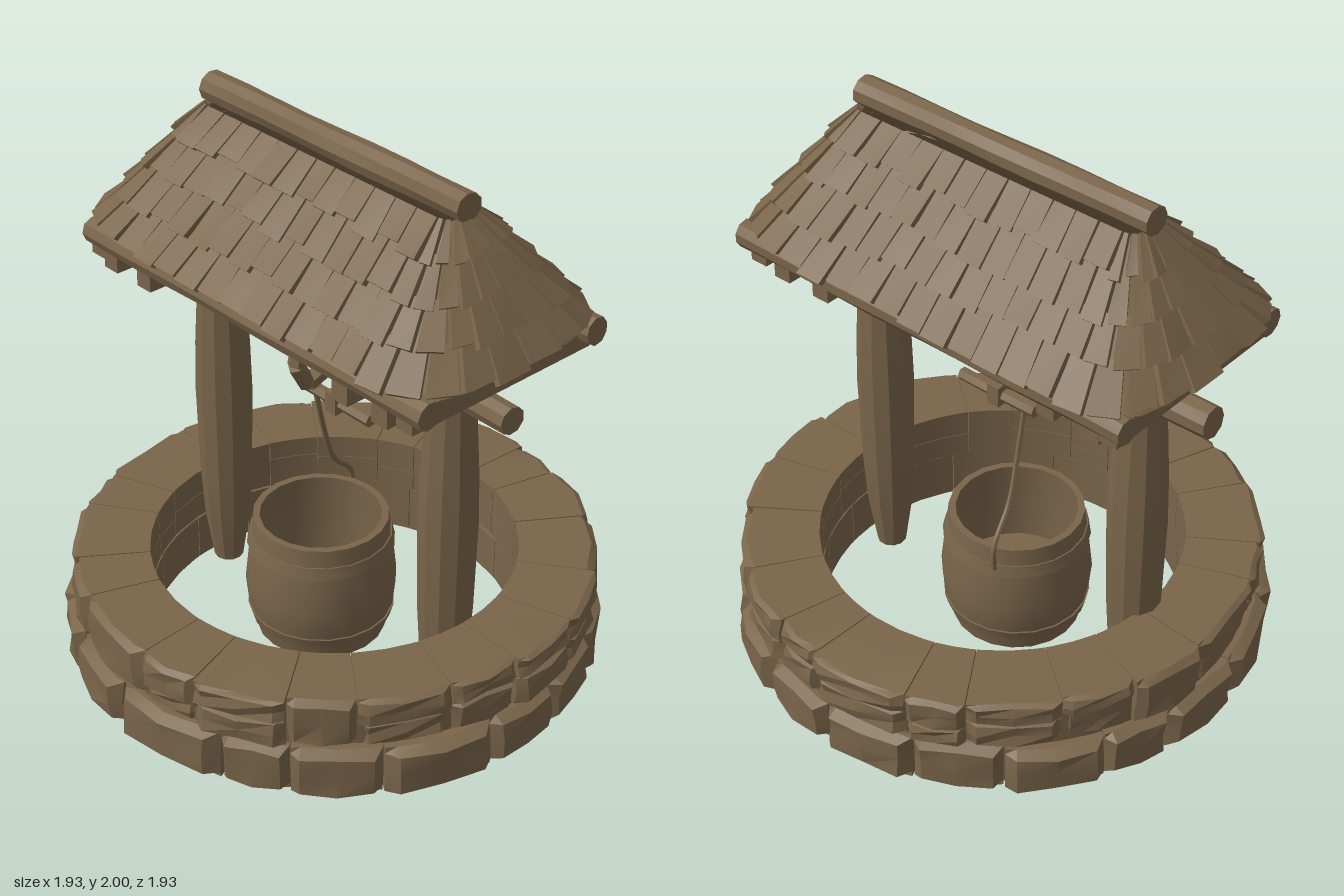
import * as THREE from 'three';
import { toCreasedNormals } from 'three/addons/utils/BufferGeometryUtils.js';

const V = (x, y, z) => new THREE.Vector3(x, y, z);

export function createModel() {
  const model = new THREE.Group();
  model.name = 'well';
  const brown = new THREE.MeshStandardMaterial({ color: 0x7a654a, side: THREE.DoubleSide });
  brown.name = 'weatheredBrown';

  let seed = 7;
  const rnd = (a = 0, b = 1) => {
    seed = (seed * 16807) % 2147483647;
    return a + (b - a) * (seed / 2147483647);
  };
  const group = (name) => {
    const g = new THREE.Group();
    g.name = name;
    model.add(g);
    return g;
  };
  const add = (name, geo, parent = model, crease = 0.5) => {
    const m = new THREE.Mesh(toCreasedNormals(geo, crease), brown);
    m.name = name;
    parent.add(m);
    return m;
  };
  // Move every vertex of a geometry by a rule
  const warp = (geo, rule) => {
    const p = geo.attributes.position, v = V(0, 0, 0);
    for (let i = 0; i < p.count; i++) {
      v.fromBufferAttribute(p, i);
      rule(v);
      p.setXYZ(i, v.x, v.y, v.z);
    }
    geo.computeVertexNormals();
    return geo;
  };
  // Rough round timber between two points
  const log = (name, a, b, r0, r1, parent = model, sides = 9) => {
    const len = a.distanceTo(b), ph = rnd(0, 6);
    const geo = new THREE.CylinderGeometry(r1, r0, len, sides, 8);
    warp(geo, (v) => {
      const k = 1 + 0.05 * Math.sin(v.y * 9 + ph + 2 * Math.atan2(v.z, v.x));
      v.x *= k;
      v.z *= k;
    });
    const m = add(name, geo, parent);
    m.position.copy(a).lerp(b, 0.5);
    m.quaternion.setFromUnitVectors(V(0, 1, 0), b.clone().sub(a).normalize());
    return m;
  };
  const box = (name, x, y, z, w, h, d, parent = model) => {
    const m = add(name, new THREE.BoxGeometry(w, h, d), parent);
    m.position.set(x, y, z);
    return m;
  };
  const lathe = (name, pts, sides, parent = model) =>
    add(name, new THREE.LatheGeometry(pts.map((p) => new THREE.Vector2(...p)), sides), parent);

  // Stone ring: a core with worn wedge stones around it
  const wall = group('stoneWall');
  lathe('wallCore', [[0.68, 0.005], [0.9, 0.005], [0.9, 0.36], [0.68, 0.36], [0.68, 0.005]], 48, wall);
  const stone = (a0, a1, y0, y1, r, bulge) => {
    const worn = rnd(0, 6);
    const geo = warp(new THREE.BoxGeometry(1, 1, 1, 4, 4, 1), (v) => {
      const spread = (t) => (Math.abs(t) < 0.4 ? t * 1.55 : t);
      const u = spread(v.x), h = spread(v.y), outer = v.z > 0;
      const edge = Math.abs(v.x) > 0.4 || Math.abs(v.y) > 0.4;
      const a = a0 + (a1 - a0) * (u * 0.985 + 0.5);
      let rad = 0.66;
      if (outer) rad = r - (edge ? bulge : 0) + 0.008 * Math.sin(u * 7 + h * 5 + worn);
      v.set(Math.sin(a) * rad, y0 + (y1 - y0) * (h * 0.98 + 0.5), Math.cos(a) * rad);
    });
    add('stone', geo, wall, 0.4);
  };
  const course = (n, fn) => {
    const cuts = Array.from({ length: n }, (_, i) => ((i + rnd(-0.2, 0.2)) / n) * Math.PI * 2);
    cuts.forEach((a, i) => fn(a, i + 1 < n ? cuts[i + 1] : cuts[0] + Math.PI * 2));
  };
  course(18, (a, b) => stone(a, b, 0, rnd(0.17, 0.2), rnd(0.95, 0.975), 0.04));
  course(20, (a, b) => {
    const r = rnd(0.925, 0.95);
    if (rnd() < 0.25) return stone(a, b, 0.19, 0.385, r, 0.025);
    const split = rnd(0.25, 0.31);
    stone(a, b, 0.185, split, r - rnd(0, 0.03), 0.03);
    stone(a, b, split, 0.385, r, 0.02);
  });

  // Posts, tapered at the foot and swollen in the middle
  const postProfile = [[0, 0], [0.055, 0], [0.085, 0.2], [0.097, 0.4], [0.105, 0.75], [0.1, 0.95],
    [0.085, 1.2], [0.077, 1.46], [0, 1.46]];
  for (const x of [-0.6, 0.56]) {
    const p = lathe('post', postProfile, 11);
    p.position.x = x;
    for (const dx of [-0.085, 0.095]) box('joist', x + dx, 1.4, 0.015, 0.07, 0.09, 0.8);
  }
  for (const x of [-0.76, 0.76]) box('endJoist', x, 1.42, 0.01, 0.07, 0.08, 0.8);

  // Horizontal timbers
  log('windlassBeam', V(-0.88, 1.295, 0), V(0.83, 1.275, 0), 0.058, 0.052);
  for (const z of [-0.37, 0.38]) log('eaveLog', V(-0.82, 1.45, z), V(0.84, 1.46, z), 0.05, 0.05);
  log('ridgeLog', V(-0.62, 1.945, 0), V(0.61, 1.945, 0), 0.053, 0.053);

  // Roof levels: matching points round a rounded rectangle, ridge to eave
  const ROWS = 4;
  const level = (t) => {
    const X = 0.58 + 0.28 * t, Z = 0.06 + 0.37 * t, y = 1.9 - 0.41 * t;
    const r = Z * 0.5, pts = [];
    const corner = (cx, cz, a0) => {
      for (let i = 0; i < 3; i++) {
        const a = a0 + (i / 3) * Math.PI / 2;
        pts.push(V(cx + Math.sin(a) * r, y, cz + Math.cos(a) * r));
      }
    };
    const run = (x0, z0, x1, z1, n) => {
      for (let i = 0; i < n; i++) pts.push(V(x0 + (x1 - x0) * i / n, y, z0 + (z1 - z0) * i / n));
    };
    const a = X - r, b = Z - r;
    run(-a, Z, a, Z, 12);
    corner(a, b, 0);
    run(X, b, X, -b, 3);
    corner(a, -b, Math.PI / 2);
    run(a, -Z, -a, -Z, 12);
    corner(-a, -b, Math.PI);
    run(-X, -b, -X, b, 3);
    corner(-a, b, Math.PI * 1.5);
    return pts;
  };
  const at = (pts, s) => {
    const n = pts.length, i = Math.floor(s);
    return pts[((i % n) + n) % n].clone().lerp(pts[(((i + 1) % n) + n) % n], s - i);
  };

  // Hollow roof shell under the shingles
  const roof = group('roof');
  const top = level(0), eave = level(1), N = top.length, shell = [];
  for (let i = 0; i < N; i++) {
    const j = (i + 1) % N;
    for (const p of [eave[i], eave[j], top[j], eave[i], top[j], top[i]]) shell.push(p.x, p.y, p.z);
  }
  const shellGeo = new THREE.BufferGeometry();
  shellGeo.setAttribute('position', new THREE.Float32BufferAttribute(shell, 3));
  shellGeo.computeVertexNormals();
  add('roofShell', shellGeo, roof);

  // Staggered, overlapping shingles, each lifted at its lower edge
  for (let row = 0; row < ROWS; row++) {
    for (let i = 0; i < N; i++) {
      const hi = level(Math.max(0, (row - 0.2) / ROWS));
      const lo = level((row + 1 + rnd(-0.1, 0.14)) / ROWS);
      const s0 = i + (row % 2) * 0.5 + rnd(0, 0.06), s1 = i + 1 + (row % 2) * 0.5 - rnd(0, 0.06);
      const A = at(lo, s0), B = at(lo, s1), C = at(hi, s1), D = at(hi, s0);
      const n = B.clone().sub(A).cross(D.clone().sub(A)).normalize();
      const lift = rnd(0.012, 0.028), tilt = rnd(-0.008, 0.008);
      const geo = warp(new THREE.BoxGeometry(1, 1, 1), (v) => {
        const u = v.x + 0.5, k = v.y + 0.5, w = v.z + 0.5;
        const base = A.clone().lerp(B, u).lerp(D.clone().lerp(C, u), k);
        v.copy(base.addScaledVector(n, (1 - k) * (lift + tilt * (u - 0.5)) + w * 0.024));
      });
      add('shingle', geo, roof);
    }
  }

  // Windlass block, hooks and hanging handle
  const gear = group('windlass');
  box('windlassBlock', -0.02, 1.29, 0, 0.07, 0.17, 0.15, gear);
  const bar = (name, pts, w, x) => {
    for (let i = 0; i + 1 < pts.length; i++) {
      const a = V(x, pts[i][1], pts[i][0]), b = V(x, pts[i + 1][1], pts[i + 1][0]);
      log(name, a, b, w, w, gear, 6);
    }
  };
  bar('frontHook', [[0.18, 1.34], [0.21, 1.21], [0.16, 1.12], [0.05, 1.16]], 0.03, 0.04);
  bar('rearHook', [[-0.19, 1.33], [-0.18, 1.25], [-0.06, 1.23]], 0.03, 0.03);
  bar('hookTie', [[0.05, 1.16], [0, 1.28]], 0.025, 0.03);
  log('handle', V(-0.15, 0.97, 0), V(0.185, 0.97, 0), 0.025, 0.025, gear, 6);
  box('handleKnot', 0.015, 0.975, 0, 0.05, 0.08, 0.07, gear);

  // Ropes
  const rope = (name, pts) =>
    add(name, new THREE.TubeGeometry(new THREE.CatmullRomCurve3(pts), 20, 0.01, 6), gear, 1);
  rope('upperRope', [V(0.03, 1.16, 0.03), V(0.01, 1.08, 0.01), V(0.02, 0.98, 0)]);
  rope('bucketRope', [V(-0.1, 0.97, 0), V(-0.105, 0.8, -0.04), V(-0.125, 0.62, -0.11),
    V(-0.15, 0.5, -0.22), V(-0.15, 0.4, -0.22)]);

  // Open barrel with hoops
  const barrel = group('barrel');
  barrel.position.set(-0.05, 0, 0.02);
  lathe('barrelBody', [[0, 0.005], [0.235, 0.005], [0.265, 0.12], [0.275, 0.22], [0.262, 0.34], [0.245, 0.48],
    [0.22, 0.48], [0.235, 0.3], [0.23, 0.15], [0, 0.15]], 20, barrel);
  for (const [y, r0, r1] of [[0.06, 0.255, 0.268], [0.37, 0.268, 0.258]])
    lathe('hoop', [[r0 - 0.02, y], [r0, y], [r1, y + 0.045], [r1 - 0.02, y + 0.045]], 20, barrel);

  return model;
}
